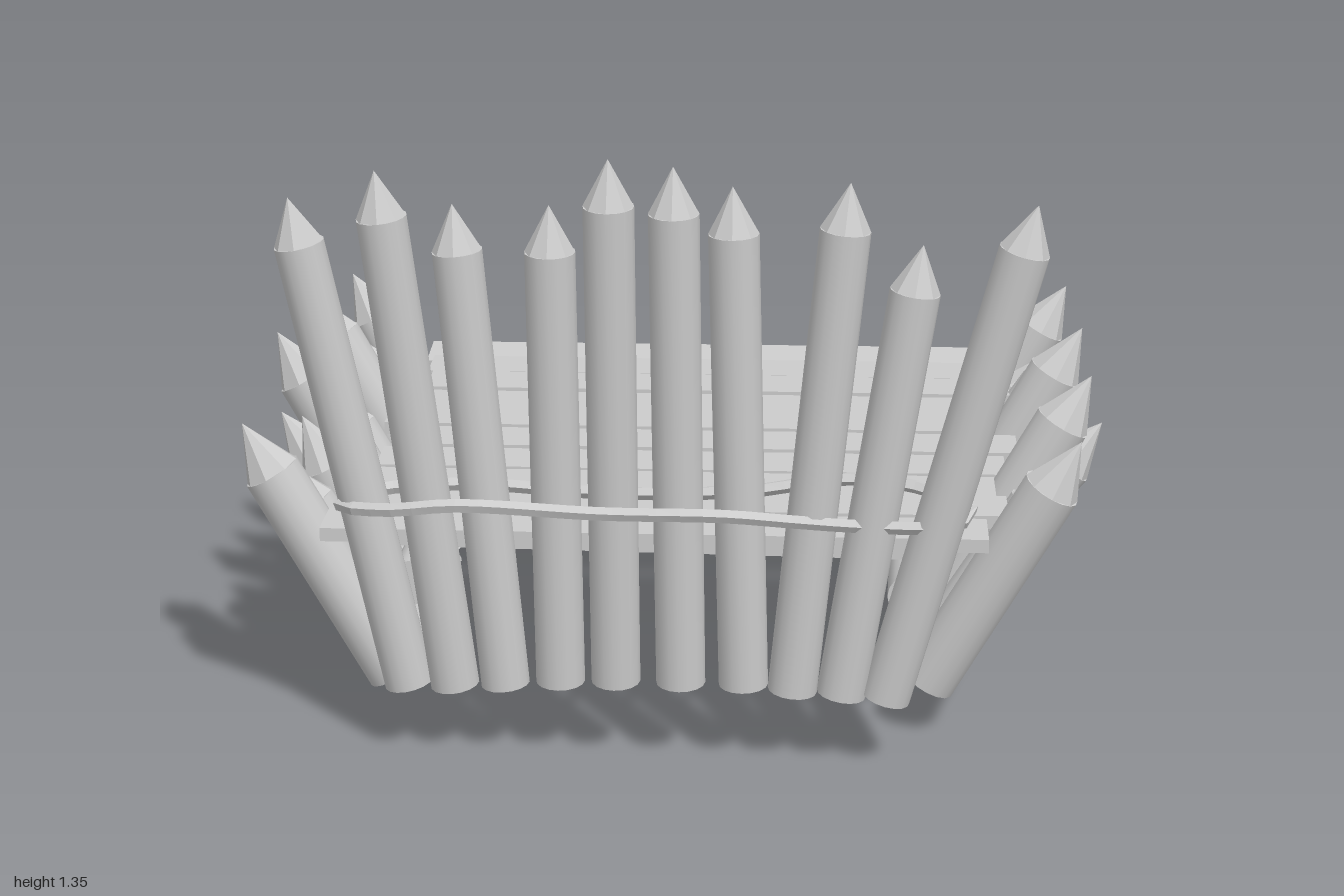
import * as THREE from 'three';

const material = new THREE.MeshStandardMaterial({ color: 0xcccccc });
const flatMaterial = new THREE.MeshStandardMaterial({ color: 0xcccccc, flatShading: true });
const UP = new THREE.Vector3(0, 1, 0);

// Group whose local y axis runs from one point to another
function along(name, from, to) {
  const group = new THREE.Group();
  const a = new THREE.Vector3(...from);
  const dir = new THREE.Vector3(...to).sub(a);
  group.name = name;
  group.position.copy(a);
  group.userData.length = dir.length();
  group.quaternion.setFromUnitVectors(UP, dir.normalize());
  return group;
}

// Plain round log
function log(name, from, to, radius) {
  const group = along(name, from, to);
  const length = group.userData.length;
  const body = new THREE.Mesh(new THREE.CylinderGeometry(radius, radius, length, 16), material);
  body.name = name + 'Body';
  body.position.y = length / 2;
  group.add(body);
  return group;
}

// Log with a roughly hewn point
function stake(name, from, to, radius, pointHeight) {
  const group = along(name, from, to);
  const length = group.userData.length - pointHeight;
  const body = new THREE.Mesh(new THREE.CylinderGeometry(radius, radius, length, 16), material);
  body.name = name + 'Body';
  body.position.y = length / 2;
  const point = new THREE.Mesh(new THREE.ConeGeometry(radius, pointHeight, 8), flatMaterial);
  point.name = name + 'Point';
  point.position.y = length + pointHeight / 2;
  group.add(body, point);
  return group;
}

function board(name, size, position, yaw = 0, pitch = 0) {
  const mesh = new THREE.Mesh(new THREE.BoxGeometry(...size), material);
  mesh.name = name;
  mesh.position.set(...position);
  mesh.rotation.set(pitch, yaw, 0);
  return mesh;
}

export function createModel() {
  const model = new THREE.Group();
  model.name = 'stakedPlatform';

  // Tall front palisade: base x, base y, tip x, tip y, tip z
  const front = [
    [-0.53, 0.17, -0.745, 1.26, 0.915], [-0.43, 0.17, -0.56, 1.325, 0.935],
    [-0.32, 0.175, -0.41, 1.245, 0.88], [-0.2, 0.185, -0.205, 1.255, 0.915],
    [-0.08, 0.19, -0.08, 1.36, 0.945], [0.06, 0.19, 0.05, 1.34, 0.915],
    [0.195, 0.19, 0.17, 1.295, 0.89], [0.3, 0.18, 0.41, 1.305, 0.88],
    [0.405, 0.175, 0.56, 1.175, 0.87], [0.5, 0.17, 0.79, 1.27, 0.9],
  ];
  front.forEach(([bx, by, tx, ty, tz]) =>
    model.add(stake('frontStake', [bx, by, 0.85], [tx, ty, tz], 0.053, 0.1)));

  // Leaning side stakes: base z, tip x, tip y, tip z
  const leftRow = [
    [0.64, 0.905, 0.705, 0.7], [0.525, 0.885, 0.6, 0.52], [0.37, 0.94, 0.75, 0.36],
    [0.24, 0.975, 0.6, 0.23], [0.11, 0.945, 0.59, 0.11], [-0.01, 0.935, 0.755, -0.01],
    [-0.145, 0.925, 0.565, -0.145], [-0.27, 0.935, 0.635, -0.285],
    [-0.4, 0.885, 0.58, -0.41], [-0.545, 0.92, 0.71, -0.55],
  ];
  const rightRow = [
    [0.68, -0.91, 0.7, 0.7], [0.55, -0.865, 0.58, 0.57], [0.44, -0.83, 0.64, 0.45],
    [0.31, -0.91, 0.6, 0.3], [0.18, -0.94, 0.755, 0.175], [0.06, -0.86, 0.59, 0.045],
    [-0.06, -0.98, 0.6, -0.07], [-0.19, -0.94, 0.75, -0.2],
    [-0.36, -0.88, 0.6, -0.375], [-0.5, -0.9, 0.7, -0.56],
  ];
  for (const [name, side, row] of [['leftStake', 1, leftRow], ['rightStake', -1, rightRow]]) {
    for (const [bz, tx, ty, tz] of row) {
      model.add(stake(name, [side * 0.59, 0.125, bz], [tx, ty, tz], 0.063, 0.125));
    }
  }

  // Deck planks, back to front: left x, middle z, height, pitch
  const planks = [
    [-0.715, -0.925, 0.29, 0], [-0.65, -0.785, 0.35, 0.08], [-0.68, -0.69, 0.43, 0.1],
    [-0.705, -0.59, 0.483, 0.1], [-0.68, -0.452, 0.49, 0], [-0.66, -0.3, 0.495, 0],
    [-0.7, -0.154, 0.49, 0], [-0.715, -0.02, 0.49, 0], [-0.65, 0.15, 0.495, 0],
    [-0.68, 0.293, 0.49, 0], [-0.705, 0.444, 0.49, 0], [-0.68, 0.588, 0.495, 0],
    [-0.725, 0.728, 0.49, 0],
  ];
  planks.forEach(([x, z, y, pitch], i) => model.add(
    board('deckPlank', [1.437, 0.03, 0.134], [x + 0.718, y, z], i ? 0.028 : 0.02, pitch)));

  // Flat boards under the deck
  model.add(board('crossBoard', [1.2, 0.03, 0.16], [0, 0.435, 0.6]));
  for (const s of [-1, 1]) {
    model.add(board('underBoard', [0.17, 0.03, 1.15], [s * 0.25, 0.455, 0.06], -0.04));
    // Long side logs and the sloping poles of the ramp
    model.add(log('sideLog', [s * 0.55, 0.33, -0.6], [s * 0.55, 0.33, 0.67], 0.052));
    model.add(log('rampPole', [s * 0.467, 0.058, -0.91], [s * 0.467, 0.435, -0.42], 0.063));
  }

  // Thin binding looped around the front palisade
  const loop = [
    [-0.66, 0.59, 0.9], [-0.55, 0.6, 0.955], [-0.4, 0.62, 0.972], [-0.1, 0.605, 0.955],
    [0.16, 0.605, 0.95], [0.3, 0.585, 0.915], [0.45, 0.57, 0.89], [0.62, 0.575, 0.89],
    [0.68, 0.59, 0.85], [0.58, 0.62, 0.79], [0.41, 0.635, 0.775], [0.2, 0.61, 0.8],
    [-0.1, 0.6, 0.805], [-0.4, 0.61, 0.8], [-0.6, 0.6, 0.83],
  ].map(p => new THREE.Vector3(...p));
  const curve = new THREE.CatmullRomCurve3(loop, true);
  const binding = new THREE.Mesh(new THREE.TubeGeometry(curve, 60, 0.015, 5, true), flatMaterial);
  binding.name = 'frontBinding';
  model.add(binding);

  return model;
}
